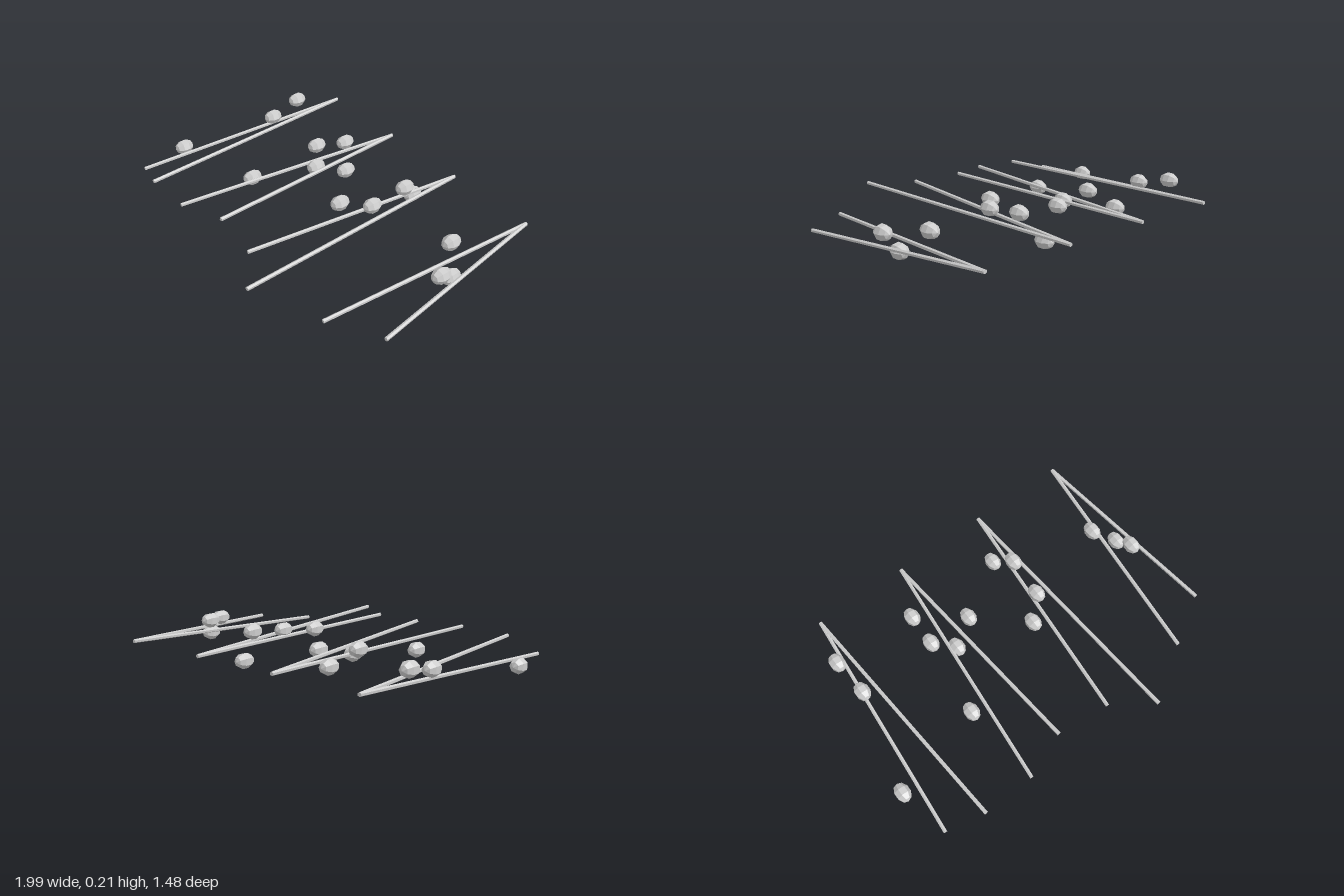
import * as THREE from 'three';

const lightGrey = new THREE.MeshStandardMaterial({ color: 0xcccccc, flatShading: true });
lightGrey.name = 'lightGrey';

// Each sprig: apex position, then the free ends of its two needles
const sprigs = [
  { apex: [-0.79, 0.098, -0.74], ends: [[-0.895, 0.063, 0.6], [-0.675, 0.122, 0.656]] },
  { apex: [-0.253, 0.098, -0.74], ends: [[-0.38, 0.135, 0.65], [-0.13, 0.148, 0.555]] },
  { apex: [0.286, 0.098, -0.74], ends: [[0.17, 0.145, 0.586], [0.395, 0.147, 0.74]] },
  { apex: [0.825, 0.098, -0.74], ends: [[0.722, 0.068, 0.535], [0.989, 0.068, 0.376]] },
];

// Centres of the scattered beads
const beads = [
  [-0.845, 0.168, -0.461], [-0.824, 0.128, -0.261], [-0.957, 0.062, 0.3],
  [-0.365, 0.1, -0.465], [-0.375, 0.153, -0.26], [-0.267, 0.1, -0.173],
  [-0.118, 0.116, -0.273], [-0.417, 0.086, 0.167],
  [0.208, 0.043, -0.493], [0.267, 0.173, -0.374], [0.261, 0.15, -0.151], [0.141, 0.153, -0.025],
  [0.743, 0.158, -0.264], [0.852, 0.058, -0.168], [0.875, 0.133, -0.072],
];

function needle(from, to) {
  const a = new THREE.Vector3(...from), b = new THREE.Vector3(...to);
  const dir = b.clone().sub(a);
  const mesh = new THREE.Mesh(new THREE.CylinderGeometry(0.011, 0.011, dir.length(), 6), lightGrey);
  mesh.position.copy(a).lerp(b, 0.5);
  mesh.quaternion.setFromUnitVectors(new THREE.Vector3(0, 1, 0), dir.normalize());
  mesh.name = 'needle';
  return mesh;
}

export function createModel() {
  const model = new THREE.Group();
  model.name = 'needlesAndBeads';

  // V-shaped needle pairs
  for (const { apex, ends } of sprigs) {
    const pair = new THREE.Group();
    pair.name = 'needlePair';
    for (const end of ends) pair.add(needle(apex, end));
    model.add(pair);
  }

  // Faceted beads, stretched along z
  const beadShape = new THREE.SphereGeometry(1, 7, 5);
  beadShape.rotateX(Math.PI / 2).rotateZ(Math.PI).scale(0.0438, 0.0438, 0.057);
  for (const p of beads) {
    const bead = new THREE.Mesh(beadShape, lightGrey);
    bead.position.set(...p);
    bead.name = 'bead';
    model.add(bead);
  }
  return model;
}
